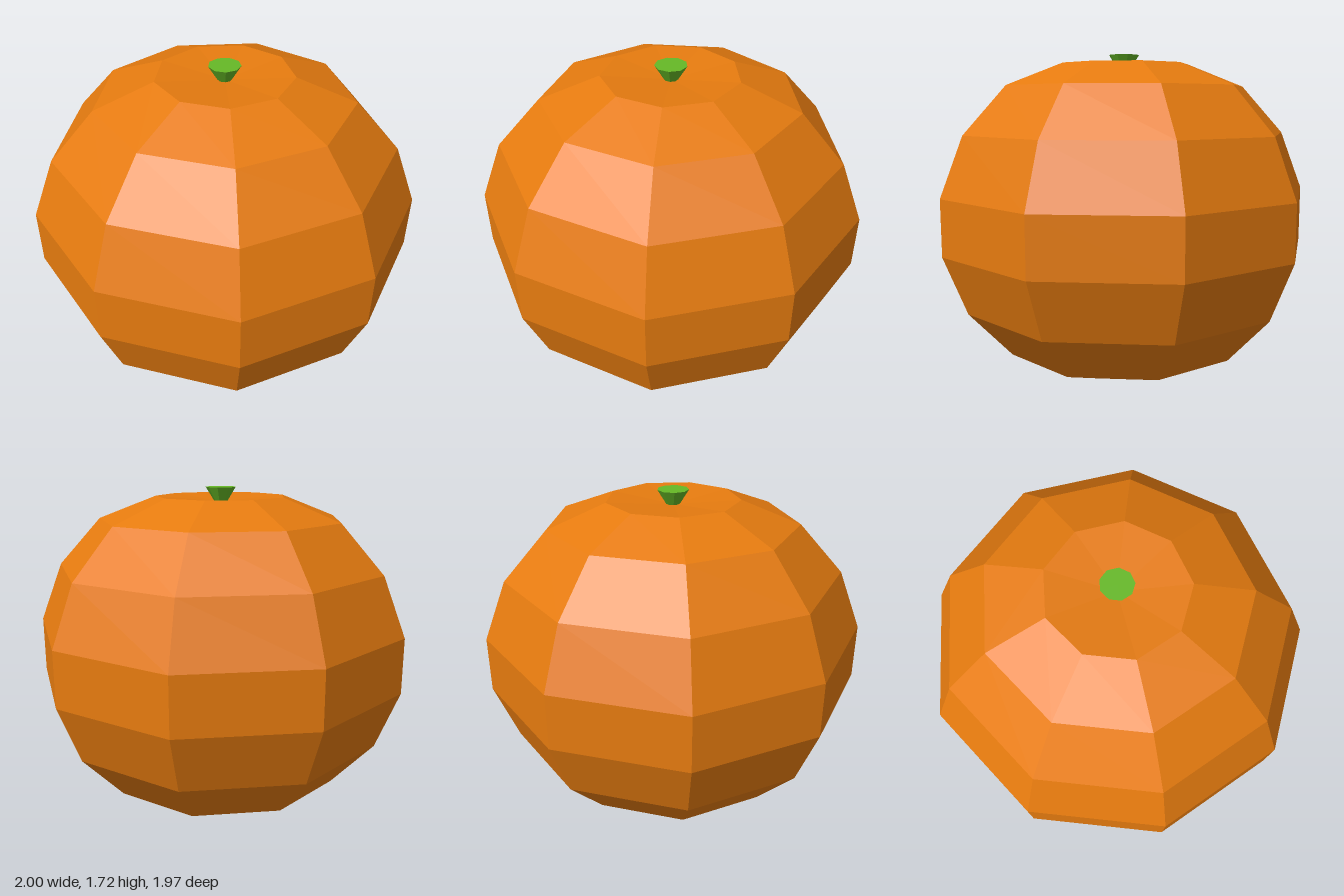
import * as THREE from 'three';

const SIDES = 9;
const CENTRE_Z = 0.031;

// Nine-sided faceted solid of revolution with a corner at the back
function facetedLathe(name, profile, material) {
  const points = profile.map(([r, y]) => new THREE.Vector2(r, y));
  const mesh = new THREE.Mesh(new THREE.LatheGeometry(points, SIDES, Math.PI), material);
  mesh.name = name;
  mesh.position.z = CENTRE_Z;
  return mesh;
}

export function createModel() {
  const orange = new THREE.MeshStandardMaterial({ color: 0xe67b0f, flatShading: true });
  orange.name = 'orange skin';
  const green = new THREE.MeshStandardMaterial({ color: 0x66b926, flatShading: true });
  green.name = 'green stem';

  // Body: lower half of the profile mirrored upward, with shallow dents at both poles
  const height = 1.672;
  const lower = [[0, 0.03], [0.353, 0], [0.663, 0.12], [0.893, 0.373], [1.0155, 0.687]];
  const upper = lower.map(([r, y]) => [r, height - y]).reverse();
  const body = facetedLathe('pumpkinBody', [...lower, ...upper], orange);

  // Stem: small flared plug rising from the top dent
  const stem = facetedLathe('stem', [[0, 1.63], [0.027, 1.63], [0.083, 1.72], [0, 1.72]], green);

  const model = new THREE.Group();
  model.name = 'pumpkin';
  model.add(body, stem);
  return model;
}
